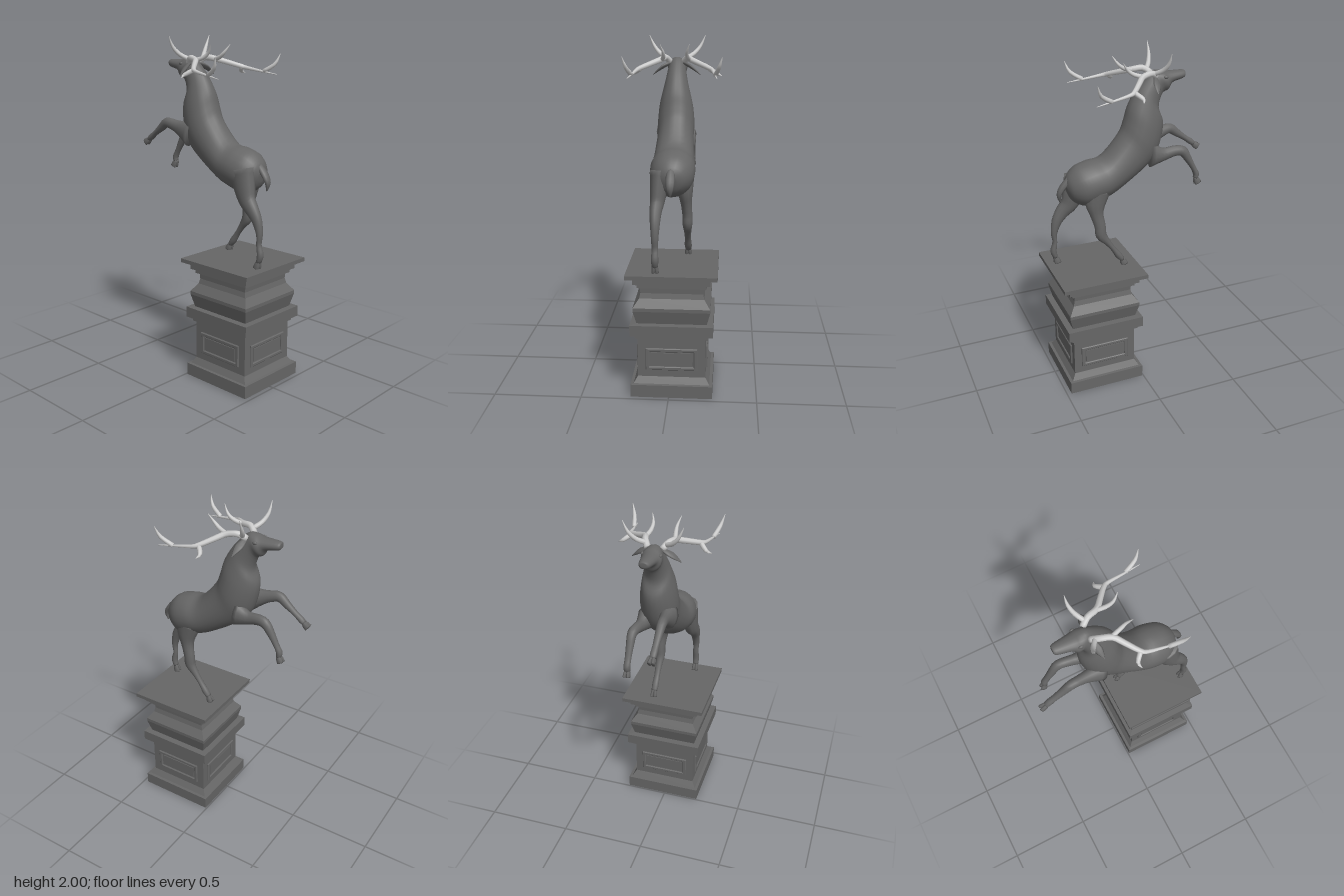
import * as THREE from 'three';

const bronze = new THREE.MeshStandardMaterial({ color: 0x666666 });
const stone = new THREE.MeshStandardMaterial({ color: 0x666666, flatShading: true });
const bone = new THREE.MeshStandardMaterial({ color: 0xcccccc });
const V = (x, y, z) => new THREE.Vector3(x, y, z);
const MID = -0.007; // z of the stag's plane of symmetry

// Catmull-Rom resampling of rows of numbers
function resample(rows, k) {
  const out = [];
  const at = (i) => rows[Math.min(Math.max(i, 0), rows.length - 1)];
  for (let i = 0; i < rows.length - 1; i++) {
    for (let s = 0; s < k; s++) {
      const t = s / k;
      out.push(rows[i].map((b, c) => {
        const a = at(i - 1)[c], d = at(i + 1)[c], e = at(i + 2)[c];
        return 0.5 * (2 * b + (d - a) * t + (2 * a - 5 * b + 4 * d - e) * t * t + (3 * b - a - 3 * d + e) * t * t * t);
      }));
    }
  }
  out.push(rows[rows.length - 1]);
  return out;
}

// Closed skin over elliptical rings {c: centre, u, v: half axes}
function loft(rings, n) {
  const pos = [], idx = [];
  const along = rings[1].c.clone().sub(rings[0].c);
  const sign = rings[0].u.clone().cross(rings[0].v).dot(along) < 0 ? -1 : 1;
  for (const { c, u, v } of rings) {
    for (let j = 0; j < n; j++) {
      const a = (j / n) * Math.PI * 2;
      const p = c.clone().addScaledVector(u, Math.cos(a)).addScaledVector(v, sign * Math.sin(a));
      pos.push(p.x, p.y, p.z);
    }
  }
  const last = rings.length - 1, c0 = rings.length * n, c1 = c0 + 1;
  pos.push(...rings[0].c.toArray(), ...rings[last].c.toArray());
  for (let j = 0; j < n; j++) {
    const k = (j + 1) % n;
    for (let i = 0; i < last; i++) {
      const a = i * n + j, b = i * n + k;
      idx.push(a, b, b + n, a, b + n, a + n);
    }
    idx.push(c0, k, j, c1, last * n + j, last * n + k);
  }
  const g = new THREE.BufferGeometry();
  g.setAttribute('position', new THREE.Float32BufferAttribute(pos, 3));
  g.setIndex(idx);
  g.computeVertexNormals();
  return g;
}

// Tapering limb; rows are [x, y, z, radius in side plane, radius across]
function limb(rows, n) {
  const pts = resample(rows, 3);
  const c = pts.map((p) => V(p[0], p[1], p[2]));
  return loft(c.map((p, i) => {
    const t = c[Math.min(i + 1, c.length - 1)].clone().sub(c[Math.max(i - 1, 0)]).normalize();
    const u = V(0, 0, 1).cross(t).normalize();
    const v = t.clone().cross(u);
    return { c: p, u: u.multiplyScalar(Math.max(pts[i][3], 0.001)), v: v.multiplyScalar(Math.max(pts[i][4], 0.001)) };
  }), n);
}

function add(parent, name, geometry, material) {
  const m = new THREE.Mesh(geometry, material);
  m.name = name;
  parent.add(m);
  return m;
}

function makePedestal() {
  const g = new THREE.Group();
  g.name = 'pedestal';
  // Square moulded column: [half width, y]
  const profile = [[0, 0], [0.233, 0], [0.233, 0.074], [0.216, 0.076], [0.193, 0.112], [0.193, 0.345],
    [0.208, 0.347], [0.208, 0.37], [0.234, 0.372], [0.234, 0.435], [0.198, 0.437], [0.217, 0.513], [0.217, 0.533],
    [0.183, 0.58], [0.176, 0.61], [0.178, 0.642], [0.195, 0.645], [0.195, 0.668], [0.216, 0.67],
    [0.216, 0.71], [0.256, 0.712], [0.256, 0.735], [0, 0.735]];
  const column = new THREE.LatheGeometry(profile.map(([r, y]) => new THREE.Vector2(r * Math.SQRT2, y)), 4, Math.PI / 4);
  add(g, 'column', column, stone);
  // Framed panel on each face
  const rect = (w, h, T) => new T([[-w, -h], [w, -h], [w, h], [-w, h]].map(([x, y]) => new THREE.Vector2(x, y)));
  const frame = rect(0.144, 0.062, THREE.Shape);
  frame.holes.push(rect(0.13, 0.049, THREE.Path));
  const frameGeo = new THREE.ExtrudeGeometry(frame, { depth: 0.006, bevelSize: 0.004, bevelThickness: 0.004, bevelSegments: 1 });
  const fieldGeo = new THREE.BoxGeometry(0.236, 0.076, 0.01);
  for (let i = 0; i < 4; i++) {
    const side = new THREE.Group();
    side.name = 'panel';
    side.rotation.y = (i * Math.PI) / 2;
    add(side, 'panelFrame', frameGeo, stone).position.set(0, 0.22, 0.192);
    add(side, 'panelField', fieldGeo, stone).position.set(0, 0.22, 0.192);
    g.add(side);
  }
  g.position.set(0.24, 0, -0.015);
  return g;
}

// Leg from [x, y, radius] points, splaying outward from the body, with a cloven hoof reaching to the toe
function makeLeg(name, side, toe, points) {
  const leg = new THREE.Group();
  leg.name = name;
  const rows = points.map(([x, y, r], i) => [x, y, MID + side * (0.065 + 0.018 * Math.min(1, i / 3)), r, 0.01 + 0.55 * r]);
  add(leg, 'limb', limb(rows, 12), bronze);
  const [x, y, z] = rows[rows.length - 1];
  for (const s of [-1, 1]) {
    add(leg, 'hoofToe', limb([[x, y + 0.004, z + s * 0.006, 0.013, 0.01],
      [(x + toe[0]) / 2, (y + toe[1]) / 2, z + s * 0.009, 0.019, 0.011], [...toe, z + s * 0.011, 0.021, 0.01]], 8), bronze);
  }
  return leg;
}

// Ear, eye and antler of one side (s = 1 left, -1 right)
function makeHeadSide(s) {
  const g = new THREE.Group();
  g.name = s > 0 ? 'leftHeadParts' : 'rightHeadParts';
  add(g, 'ear', limb([[-0.145, 1.845, MID + s * 0.035, 0.01, 0.01], [-0.132, 1.815, MID + s * 0.09, 0.023, 0.009],
    [-0.12, 1.775, MID + s * 0.138, 0.002, 0.002]], 8), bronze);
  const eye = add(g, 'eye', new THREE.SphereGeometry(0.012, 10, 8), bronze);
  eye.position.set(-0.205, 1.84, MID + s * 0.05);
  eye.scale.set(1.2, 0.8, 0.7);

  // Antler branches taper to a point from the root radius
  const branch = (name, radius, points) => add(g, name, limb(points.map(([x, y, z], i) => {
    const r = radius * (1 - 0.9 * (i / (points.length - 1)) ** 2.5);
    return [x, y, MID + s * z, r, r];
  }), 8), bone);
  branch('antlerBeam', 0.018, [[-0.15, 1.85, 0.04], [-0.11, 1.875, 0.065], [-0.05, 1.867, 0.085], [-0.01, 1.85, 0.13],
    [0.045, 1.825, 0.195], [0.08, 1.815, 0.214], [0.175, 1.8, 0.228], [0.278, 1.785, 0.243]]);
  branch('browTine', 0.014, [[-0.13, 1.868, 0.055], [-0.162, 1.895, 0.1], [-0.18, 1.94, 0.138], [-0.182, 2, 0.165]]);
  branch('middleTine', 0.013, [[-0.06, 1.865, 0.082], [-0.005, 1.88, 0.07], [0.035, 1.91, 0.067], [0.065, 1.955, 0.082]]);
  branch('outerTine', 0.014, [[0.05, 1.822, 0.195], [0.014, 1.795, 0.235], [0.022, 1.78, 0.265]]);
  branch('topTine', 0.013, [[0.19, 1.8, 0.232], [0.255, 1.842, 0.252], [0.28, 1.902, 0.27]]);
  return g;
}

function makeStag() {
  const g = new THREE.Group();
  g.name = 'stag';

  // Rump to muzzle: [back x, back y, underside x, underside y, half width]
  const stations = [[0.388, 1.27, 0.375, 1.21, 0.025], [0.372, 1.32, 0.348, 1.165, 0.075], [0.323, 1.369, 0.275, 1.13, 0.117],
    [0.249, 1.392, 0.18, 1.157, 0.128], [0.159, 1.411, 0.09, 1.194, 0.118], [0.058, 1.528, -0.085, 1.305, 0.106],
    [0.026, 1.602, -0.159, 1.385, 0.108], [0.005, 1.676, -0.196, 1.485, 0.1], [-0.026, 1.74, -0.206, 1.58, 0.083],
    [-0.069, 1.8, -0.178, 1.66, 0.066], [-0.138, 1.868, -0.2, 1.737, 0.053], [-0.185, 1.872, -0.235, 1.758, 0.058],
    [-0.228, 1.862, -0.26, 1.795, 0.046], [-0.326, 1.86, -0.326, 1.812, 0.031], [-0.34, 1.85, -0.34, 1.827, 0.016]];
  const rings = resample(stations, 4).map(([tx, ty, bx, by, w]) => ({
    c: V((tx + bx) / 2, (ty + by) / 2, MID), u: V((tx - bx) / 2, (ty - by) / 2, 0), v: V(0, 0, w),
  }));
  add(g, 'bodyAndHead', loft(rings, 20), bronze);

  g.add(makeLeg('leftHindLeg', 1, [0.427, 0.736], [[0.29, 1.28, 0.085], [0.317, 1.183, 0.07], [0.344, 1.114, 0.055],
    [0.386, 1.066, 0.043], [0.423, 1.008, 0.031], [0.442, 0.934, 0.019], [0.439, 0.875, 0.014], [0.45, 0.817, 0.019],
    [0.439, 0.775, 0.014]]));
  g.add(makeLeg('rightHindLeg', -1, [0.062, 0.736], [[0.217, 1.247, 0.085], [0.233, 1.157, 0.062], [0.228, 1.088, 0.04],
    [0.212, 1.013, 0.034], [0.206, 0.955, 0.033], [0.169, 0.902, 0.02], [0.132, 0.849, 0.015], [0.1, 0.801, 0.02],
    [0.076, 0.77, 0.015]]));
  g.add(makeLeg('leftForeleg', 1, [-0.483, 1.35], [[-0.106, 1.438, 0.08], [-0.19, 1.464, 0.046], [-0.243, 1.48, 0.034],
    [-0.296, 1.488, 0.03], [-0.344, 1.454, 0.023], [-0.397, 1.416, 0.016], [-0.435, 1.388, 0.018], [-0.453, 1.372, 0.014]]));
  g.add(makeLeg('rightForeleg', -1, [-0.41, 1.188], [[-0.11, 1.4, 0.075], [-0.185, 1.395, 0.04], [-0.25, 1.408, 0.032],
    [-0.302, 1.403, 0.03], [-0.339, 1.353, 0.023], [-0.376, 1.289, 0.016], [-0.397, 1.247, 0.018], [-0.393, 1.222, 0.014]]));

  add(g, 'tail', limb([[0.36, 1.3, MID, 0.02, 0.022], [0.405, 1.255, MID, 0.017, 0.026],
    [0.427, 1.21, MID, 0.013, 0.02], [0.42, 1.165, MID, 0.003, 0.004]], 8), bronze);

  g.add(makeHeadSide(1), makeHeadSide(-1));
  return g;
}

export function createModel() {
  const model = new THREE.Group();
  model.name = 'stagStatue';
  model.add(makePedestal(), makeStag());
  return model;
}
